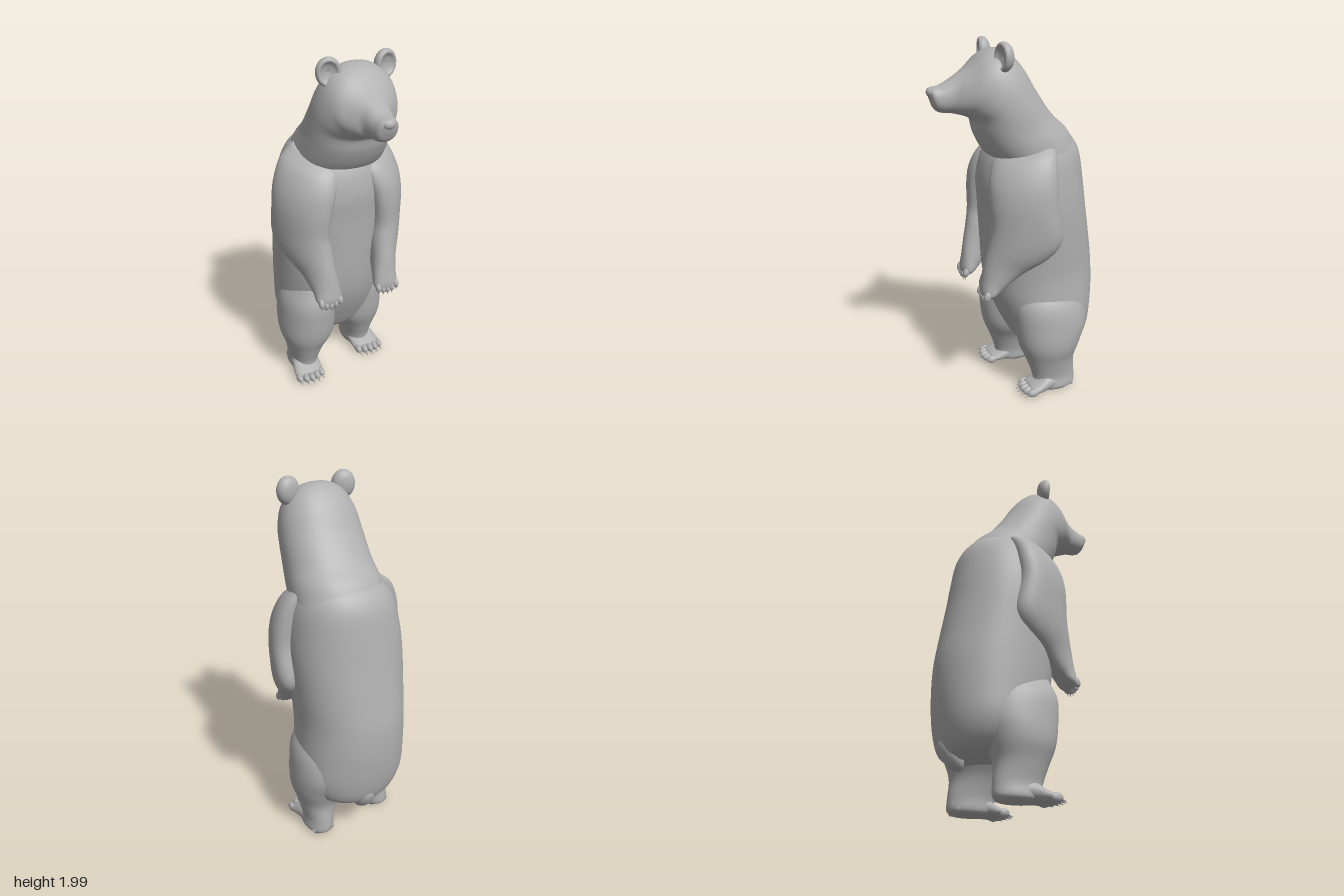
import * as THREE from 'three';

const fur = new THREE.MeshStandardMaterial({ color: 0xb0b0b0 });
fur.name = 'grey fur';

// Smooth closed skin through sections [centreX, halfWidth, frontZ, frontY, backZ, backY, skewX]
function loft(name, sections, power = 2.2, sides = 36) {
  const curve = (f) => new THREE.CatmullRomCurve3(sections.map(f), false, 'catmullrom', 0.5);
  const front = curve(([x, , fz, fy, , , k = 0]) => new THREE.Vector3(x - k, fy, fz));
  const back = curve(([x, , , , bz, by, k = 0]) => new THREE.Vector3(x + k, by, bz));
  const width = curve((s) => new THREE.Vector3(s[1], 0, 0));
  const rings = (sections.length - 1) * 5;
  const pos = [], index = [];
  const round = (v) => Math.sign(v) * Math.pow(Math.abs(v), 2 / power);
  for (let r = 0; r <= rings; r++) {
    const t = r / rings;
    const f = front.getPoint(t), b = back.getPoint(t), w = width.getPoint(t).x;
    const mid = f.clone().add(b).multiplyScalar(0.5);
    const half = f.sub(b).multiplyScalar(0.5);
    for (let i = 0; i < sides; i++) {
      const a = (i / sides) * Math.PI * 2;
      const p = mid.clone().addScaledVector(half, round(Math.sin(a)));
      pos.push(p.x + w * round(Math.cos(a)), p.y, p.z);
      if (r === rings) continue;
      const j = (i + 1) % sides, lo = r * sides, hi = lo + sides;
      index.push(lo + i, hi + i, hi + j, lo + i, hi + j, lo + j);
    }
  }
  // End caps
  for (const [t, base] of [[0, 0], [1, rings * sides]]) {
    const c = front.getPoint(t).add(back.getPoint(t)).multiplyScalar(0.5);
    const centre = pos.length / 3;
    pos.push(c.x, c.y, c.z);
    for (let i = 0; i < sides; i++) {
      const j = (i + 1) % sides;
      if (t === 0) index.push(centre, base + i, base + j);
      else index.push(centre, base + j, base + i);
    }
  }
  const g = new THREE.BufferGeometry();
  g.setAttribute('position', new THREE.Float32BufferAttribute(pos, 3));
  g.setIndex(index);
  g.computeVertexNormals();
  const mesh = new THREE.Mesh(g, fur);
  mesh.name = name;
  return mesh;
}

function blob(name, x, y, z, rx, ry, rz, tilt = 0) {
  const mesh = new THREE.Mesh(new THREE.SphereGeometry(1, 20, 14), fur);
  mesh.name = name;
  mesh.position.set(x, y, z);
  mesh.scale.set(rx, ry, rz);
  mesh.rotation.x = tilt;
  return mesh;
}

function claw(x, y, z, length, tilt) {
  const mesh = new THREE.Mesh(new THREE.ConeGeometry(0.009, length, 8), fur);
  mesh.name = 'claw';
  mesh.position.set(x, y, z);
  mesh.rotation.x = tilt;
  return mesh;
}

// Place a +x side list of sections on either side, shifted outward and forward
const place = (list, side, out = 0, dz = 0) =>
  list.map(([x, w, fz, fy, bz, by, k = 0]) => [side * (x + out), w, fz + dz, fy, bz + dz, by, side * k]);

const TORSO = [
  [-0.01, 0.13, -0.08, 0.26, -0.36, 0.23],
  [-0.01, 0.24, -0.01, 0.29, -0.42, 0.28],
  [-0.015, 0.3, 0.055, 0.4, -0.455, 0.4],
  [-0.02, 0.305, 0.12, 0.55, -0.475, 0.58],
  [-0.025, 0.303, 0.155, 0.7, -0.473, 0.75],
  [-0.02, 0.31, 0.17, 0.9, -0.45, 0.9],
  [-0.015, 0.317, 0.18, 1.1, -0.415, 1.1],
  [-0.01, 0.308, 0.19, 1.25, -0.393, 1.25],
  [0, 0.28, 0.17, 1.37, -0.365, 1.4],
  [0.01, 0.235, 0.13, 1.44, -0.31, 1.49],
  [0.02, 0.16, 0.05, 1.48, -0.22, 1.54],
];

// Neck rises from the shoulders, then bends forward into the muzzle
const HEAD = [
  [0.015, 0.255, 0.1, 1.34, -0.33, 1.44],
  [0.02, 0.245, 0.175, 1.43, -0.28, 1.53],
  [0.022, 0.233, 0.22, 1.52, -0.195, 1.61],
  [0.025, 0.226, 0.238, 1.59, -0.1, 1.74],
  [0.025, 0.215, 0.262, 1.61, -0.02, 1.87],
  [0.025, 0.194, 0.283, 1.62, 0.07, 1.95],
  [0.025, 0.165, 0.308, 1.628, 0.165, 1.945],
  [0.025, 0.12, 0.335, 1.635, 0.26, 1.87],
  [0.025, 0.083, 0.36, 1.64, 0.33, 1.825],
  [0.025, 0.067, 0.405, 1.645, 0.405, 1.785],
  [0.025, 0.054, 0.435, 1.66, 0.455, 1.775],
  [0.025, 0.02, 0.457, 1.705, 0.468, 1.755],
];

// Arm from paw to shoulder, turned so its front faces inward over the chest
const ARM = [
  [0.178, 0.05, 0.25, 0.655, 0.22, 0.64, 0],
  [0.178, 0.073, 0.255, 0.69, 0.175, 0.665, 0.005],
  [0.183, 0.073, 0.245, 0.76, 0.13, 0.7, 0.012],
  [0.203, 0.08, 0.23, 0.85, 0.03, 0.785, 0.025],
  [0.235, 0.1, 0.207, 0.96, -0.09, 0.87, 0.045],
  [0.255, 0.106, 0.195, 1.05, -0.155, 0.98, 0.055],
  [0.25, 0.11, 0.2, 1.18, -0.125, 1.17, 0.065],
  [0.228, 0.113, 0.192, 1.29, -0.13, 1.31, 0.068],
  [0.19, 0.105, 0.155, 1.38, -0.14, 1.43, 0.06],
  [0.14, 0.08, 0.09, 1.44, -0.14, 1.5, 0.04],
];

const LEG = [
  [0.19, 0.065, -0.1, 0.012, -0.285, 0.012],
  [0.19, 0.083, -0.06, 0.035, -0.31, 0.035],
  [0.185, 0.085, -0.055, 0.1, -0.31, 0.1],
  [0.18, 0.112, -0.02, 0.2, -0.305, 0.2],
  [0.168, 0.155, 0.02, 0.3, -0.34, 0.3],
  [0.16, 0.165, 0.04, 0.42, -0.38, 0.42],
  [0.155, 0.15, 0.045, 0.55, -0.36, 0.55],
  [0.14, 0.1, 0.01, 0.66, -0.3, 0.66],
];

const FOOT = [
  [0.19, 0.065, -0.28, 0.008, -0.28, 0.06],
  [0.193, 0.08, -0.15, 0.008, -0.15, 0.12],
  [0.203, 0.087, -0.06, 0.01, -0.06, 0.08],
  [0.207, 0.083, -0.01, 0.014, -0.015, 0.058],
];

// A softly cupped round ear facing forward
function ear(side) {
  const profile = [[0, -0.5], [0.5, -0.44], [0.85, -0.25], [1, 0.05], [0.93, 0.3], [0.75, 0.36], [0.5, 0.2], [0, 0.08]]
    .map(([r, y]) => new THREE.Vector2(r, y));
  const smooth = new THREE.SplineCurve(profile).getPoints(28);
  smooth[0].x = smooth[28].x = 0;
  const mesh = new THREE.Mesh(new THREE.LatheGeometry(smooth, 28), fur);
  mesh.name = side > 0 ? 'leftEar' : 'rightEar';
  mesh.scale.set(0.064, 0.075, 0.075);
  mesh.rotation.set(Math.PI / 2, 0, -side * 0.2);
  mesh.position.set(0.03 + side * 0.156, 1.926, 0.115);
  return mesh;
}

export function createModel() {
  const bear = new THREE.Group();
  bear.name = 'standingBear';
  bear.add(loft('torso', TORSO, 2.12, 48), loft('neckAndHead', HEAD, 2.2, 48));
  bear.add(blob('nose', 0.025, 1.75, 0.45, 0.036, 0.026, 0.026));
  bear.add(blob('tail', -0.02, 0.265, -0.372, 0.06, 0.095, 0.05, -0.6));

  for (const side of [1, -1]) {
    const label = side > 0 ? 'left' : 'right';
    bear.add(ear(side));
    bear.add(blob(label + 'Eye', 0.025 + side * 0.07, 1.81, 0.287, 0.02, 0.013, 0.016));

    // Arm with fingers and claws
    const arm = new THREE.Group();
    arm.name = label + 'Arm';
    arm.add(loft('armAndPaw', place(ARM, side), 2.1));
    for (let i = -2; i <= 2; i++) {
      const x = side * 0.178 + i * 0.028, drop = 0.004 * i * i;
      arm.add(blob('finger', x, 0.655 + drop, 0.236, 0.016, 0.03, 0.02, -0.4));
      arm.add(claw(x, 0.628 + drop, 0.243, 0.035, Math.PI - 0.1));
    }
    bear.add(arm);

    // Leg with foot, toes and claws; the right leg stands slightly forward
    const out = side > 0 ? 0 : 0.03, dz = side > 0 ? 0 : 0.085;
    const leg = new THREE.Group();
    leg.name = label + 'Leg';
    leg.add(loft('thighAndShin', place(LEG, side, out, dz), 2.1));
    leg.add(loft('foot', place(FOOT, side, out, dz)));
    for (let i = -2; i <= 2; i++) {
      const x = side * (0.207 + out) + i * 0.035, z = dz - 0.005 * i * i;
      leg.add(blob('toe', x, 0.036, z, 0.019, 0.024, 0.035));
      leg.add(claw(x, 0.024, z + 0.037, 0.045, Math.PI / 2 + 0.3));
    }
    bear.add(leg);
  }
  return bear;
}
